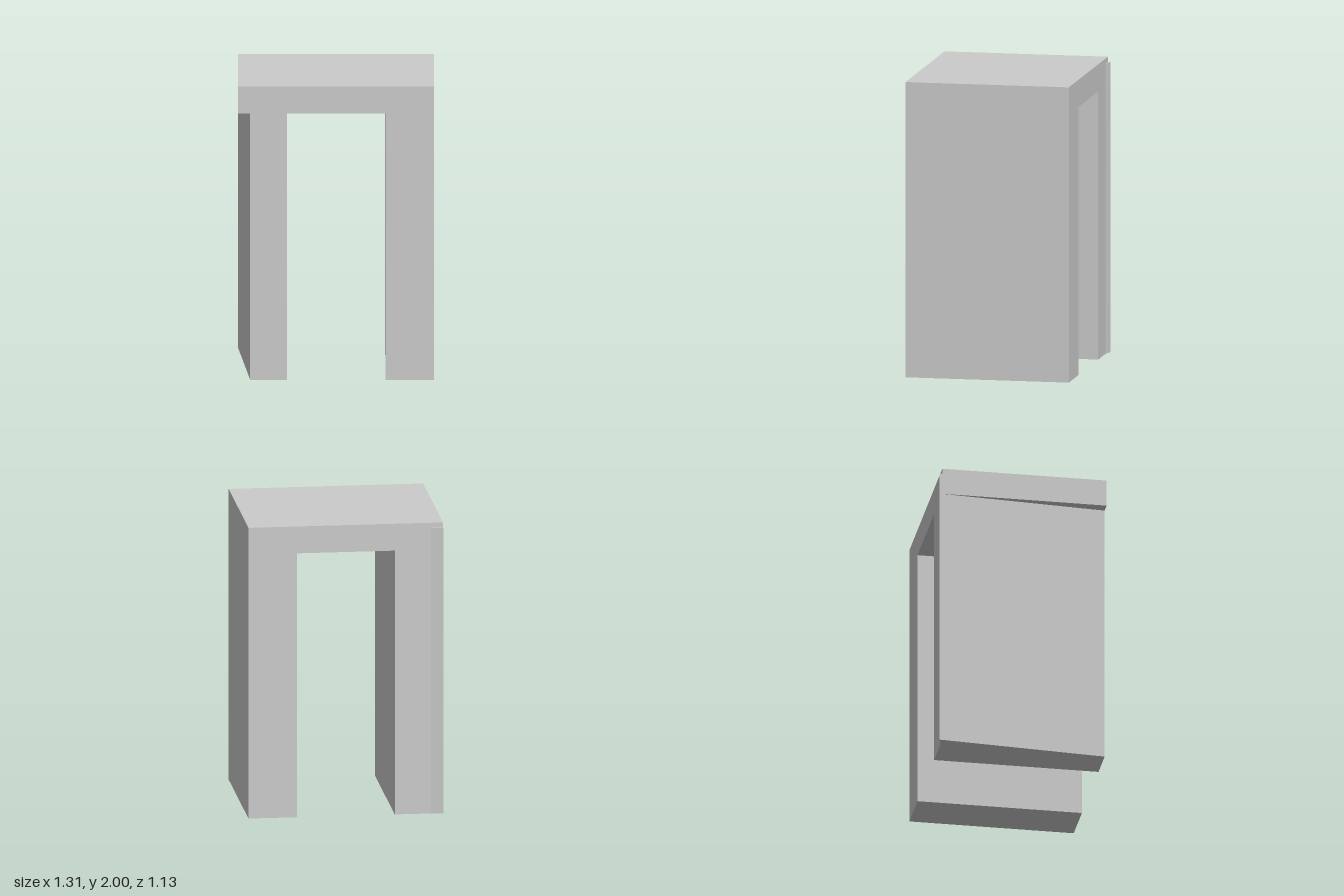
import * as THREE from 'three';

const material = new THREE.MeshStandardMaterial({ color: 0xcccccc, flatShading: true });
const HEIGHT = 2, OPENING = 1.815, OUTER = 0.655, INNER = 0.33;
const FRONT = 0.565, BACK = -0.55;

const shapeOf = (points) => new THREE.Shape(points.map(([x, y]) => new THREE.Vector2(x, y)));

// Upright prism over a plan outline given as [x, z] corners
function prism(name, plan, bottom, top) {
  const geometry = new THREE.ExtrudeGeometry(shapeOf(plan.map(([x, z]) => [x, -z])), {
    depth: top - bottom, bevelEnabled: false,
  });
  geometry.rotateX(-Math.PI / 2).translate(0, bottom, 0);
  const mesh = new THREE.Mesh(geometry, material);
  mesh.name = name;
  return mesh;
}

export function createModel() {
  const model = new THREE.Group();
  model.name = 'archway';

  // Top slab and straight leg in one piece
  const frame = new THREE.ExtrudeGeometry(shapeOf([
    [INNER, 0], [OUTER, 0], [OUTER, HEIGHT], [-OUTER, HEIGHT], [-OUTER, OPENING], [INNER, OPENING],
  ]), { depth: FRONT - BACK, bevelEnabled: false });
  frame.translate(0, 0, BACK);
  const frameMesh = new THREE.Mesh(frame, material);
  frameMesh.name = 'slabAndStraightLeg';
  model.add(frameMesh);

  // Tapered leg: outer face slants in to the front, rear corner sticks out
  const corner = [-OUTER, -0.568], kink = [-0.575, BACK];
  model.add(prism('taperedLeg',
    [[-0.575, FRONT], [-INNER, FRONT], [-INNER, BACK], kink, corner], 0, OPENING));

  // Rear corner of that leg, running up behind the slab
  model.add(prism('rearCorner', [[-0.654, BACK], kink, corner], OPENING, 1.965));

  return model;
}
